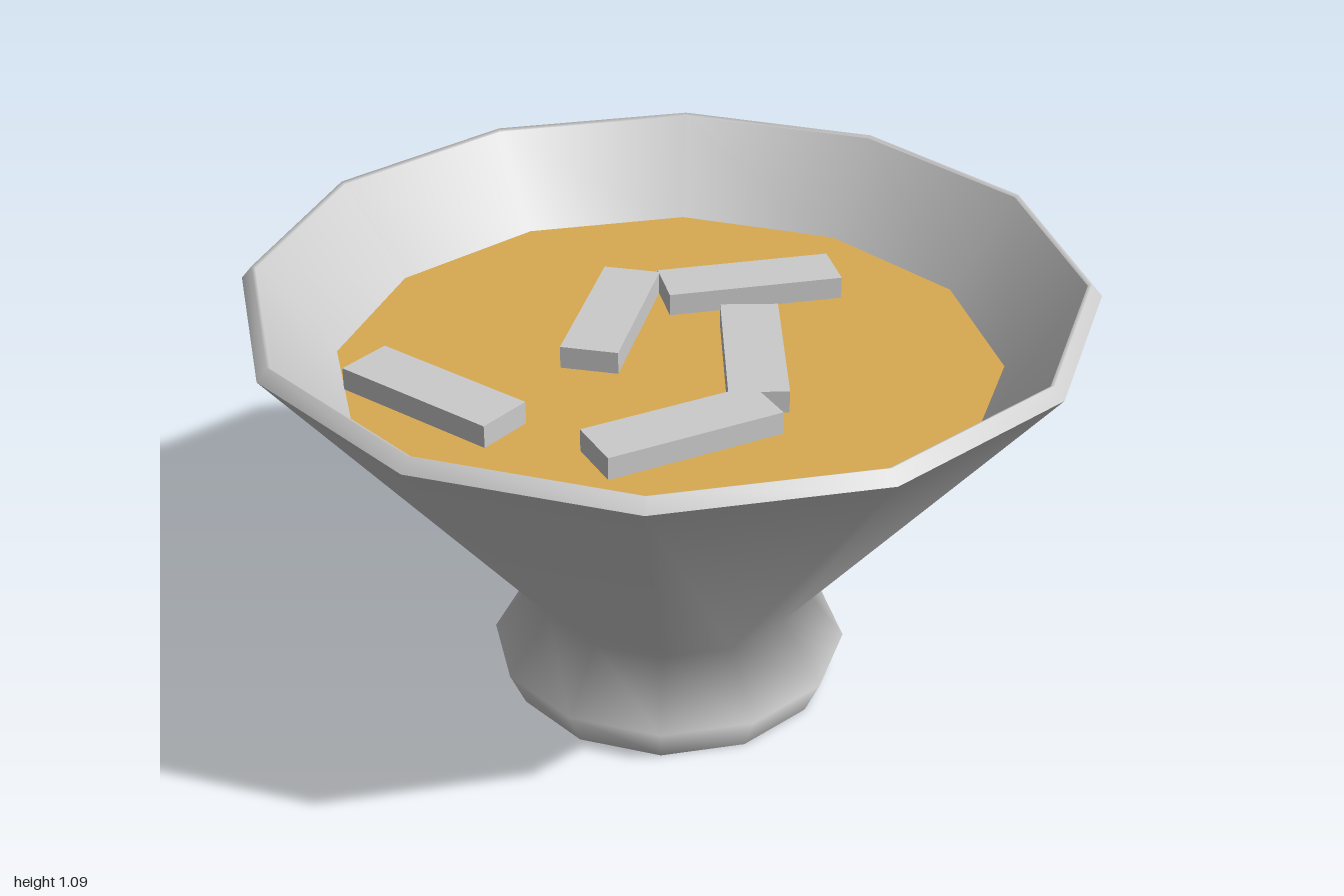
import * as THREE from 'three';

const SIDES = 12;
const LIQUID_Y = 0.87;

const grey = new THREE.MeshStandardMaterial({ color: 0xcccccc });
const broth = new THREE.MeshStandardMaterial({ color: 0xd8aa52 });

function addMesh(group, name, geometry, material = grey) {
  const mesh = new THREE.Mesh(geometry, material);
  mesh.name = name;
  group.add(mesh);
  return mesh;
}

const lathe = (points) =>
  new THREE.LatheGeometry(points.map(([r, y]) => new THREE.Vector2(r, y)), SIDES);

export function createModel() {
  const model = new THREE.Group();
  model.name = 'bowl';

  // Flared shell with a pinched waist; separate bands keep the rim edges sharp
  addMesh(model, 'outerWall', lathe([[0.4, 0], [0.44, 0.09], [0.33, 0.24], [1, 1.06]]));
  addMesh(model, 'rim', lathe([[1, 1.06], [0.975, 1.09], [0.965, 1.085]]));
  addMesh(model, 'innerWall', lathe([[0.965, 1.085], [0.79, LIQUID_Y], [0.3, 0.28]]));

  // Flat underside and inner floor
  const base = addMesh(model, 'base', new THREE.CircleGeometry(0.4, SIDES));
  base.rotation.x = Math.PI / 2;
  const floor = addMesh(model, 'innerFloor', new THREE.CircleGeometry(0.3, SIDES));
  floor.rotation.x = -Math.PI / 2;
  floor.position.y = 0.28;

  // Liquid surface
  const liquid = addMesh(model, 'liquid', new THREE.CircleGeometry(0.79, SIDES), broth);
  liquid.rotation.x = -Math.PI / 2;
  liquid.position.y = LIQUID_Y;

  // Floating sticks: centre x, centre z, direction x, direction z
  const stickGeometry = new THREE.BoxGeometry(0.435, 0.1, 0.14);
  const sticks = [
    [-0.58, -0.045, 0.18, 0.39],
    [-0.053, -0.2, 0.28, -0.335],
    [0.333, -0.21, 0.42, 0.11],
    [0.158, 0.128, 0.19, -0.39],
    [-0.152, 0.36, 1, 0],
  ];
  sticks.forEach(([x, z, dx, dz], i) => {
    const stick = addMesh(model, `stick${i + 1}`, stickGeometry);
    stick.position.set(x, LIQUID_Y + 0.005, z);
    stick.rotation.y = Math.atan2(-dz, dx);
  });

  return model;
}
